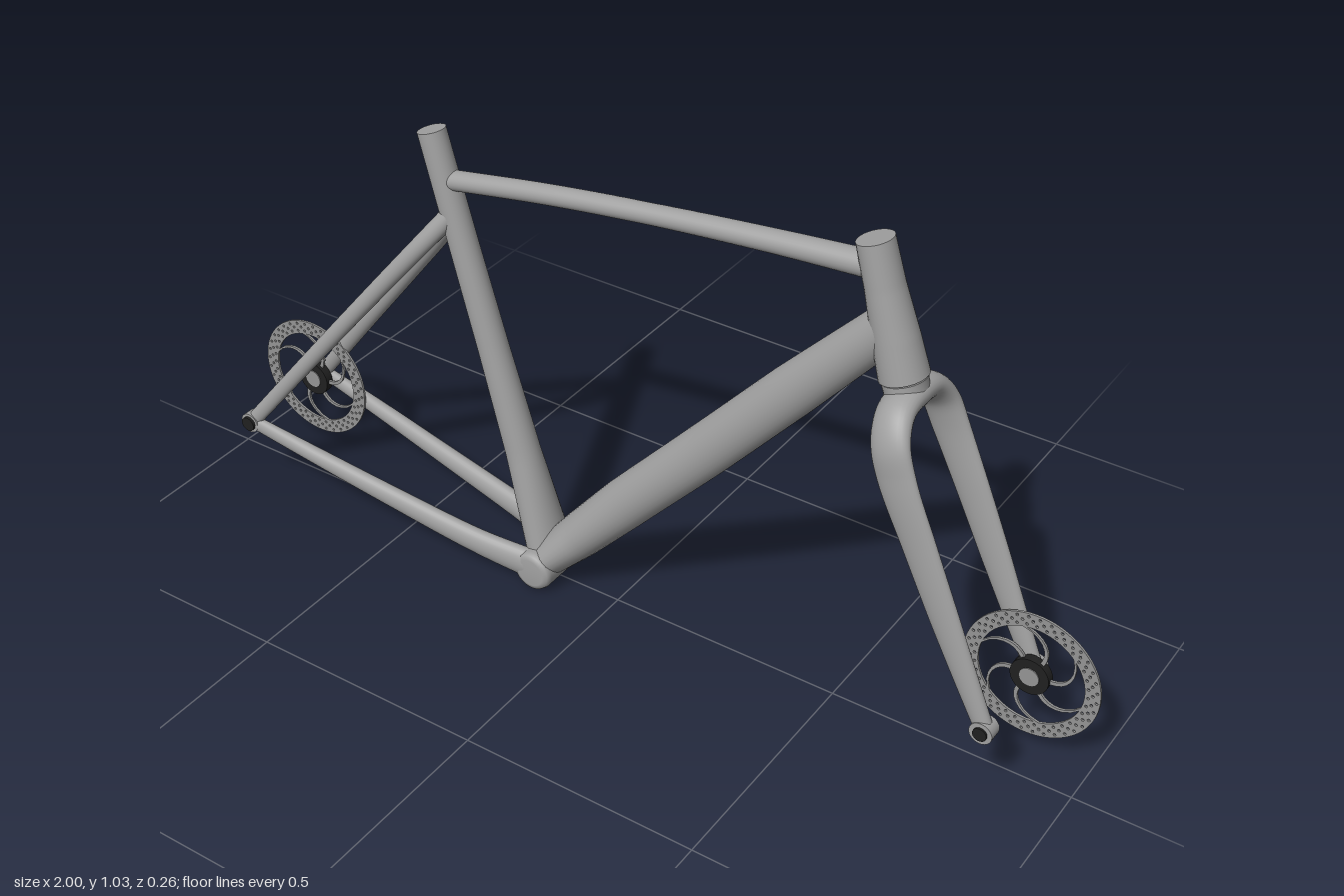
import * as THREE from 'three';

const V = (x, y, z = 0) => new THREE.Vector3(x, y, z);
const frameGrey = new THREE.MeshStandardMaterial({ color: 0xa0a0a0 });
frameGrey.name = 'frame grey';
const rotorGrey = new THREE.MeshStandardMaterial({ color: 0x949494 });
rotorGrey.name = 'rotor grey';
const hubBlack = new THREE.MeshStandardMaterial({ color: 0x202020 });
hubBlack.name = 'hub black';

// Elliptical tube along a smooth path. Each station is [x, y, z, a, b]:
// a = half-width along ref, b = half-width across it.
function sweep(stations, ref, steps = 40, sides = 28) {
  const curve = new THREE.CatmullRomCurve3(stations.map(s => V(s[0], s[1], s[2])));
  const n = stations.length - 1, pos = [], idx = [];
  const ring = t => {
    const c = curve.getPoint(t), d = curve.getTangent(t);
    const A = ref.clone().addScaledVector(d, -ref.dot(d)).normalize();
    const B = d.clone().cross(A);
    const k = Math.min(n - 1, Math.floor(t * n)), f = t * n - k;
    const a = THREE.MathUtils.lerp(stations[k][3], stations[k + 1][3], f);
    const b = THREE.MathUtils.lerp(stations[k][4], stations[k + 1][4], f);
    const start = pos.length / 3;
    for (let j = 0; j < sides; j++) {
      const q = j / sides * Math.PI * 2;
      const p = c.clone().addScaledVector(A, a * Math.cos(q)).addScaledVector(B, b * Math.sin(q));
      pos.push(p.x, p.y, p.z);
    }
    return { start, c };
  };
  for (let i = 0; i <= steps; i++) ring(i / steps);
  for (let i = 0; i < steps; i++) for (let j = 0; j < sides; j++) {
    const p = i * sides + j, q = i * sides + (j + 1) % sides;
    idx.push(p, q, p + sides, q, q + sides, p + sides);
  }
  for (const t of [0, 1]) { // flat end caps with their own vertices
    const { start, c } = ring(t), m = pos.length / 3;
    pos.push(c.x, c.y, c.z);
    for (let j = 0; j < sides; j++) {
      const p = start + j, q = start + (j + 1) % sides;
      t ? idx.push(m, p, q) : idx.push(m, q, p);
    }
  }
  const g = new THREE.BufferGeometry();
  g.setAttribute('position', new THREE.Float32BufferAttribute(pos, 3));
  g.setIndex(idx);
  g.computeVertexNormals();
  return g;
}

function add(parent, name, geometry, material = frameGrey) {
  const m = new THREE.Mesh(geometry, material);
  m.name = name;
  parent.add(m);
  return m;
}

// Cylinder along z between two depths
function pin(parent, name, x, y, z0, z1, r, material, sides = 28) {
  const g = new THREE.CylinderGeometry(r, r, Math.abs(z1 - z0), sides).rotateX(Math.PI / 2);
  add(parent, name, g, material).position.set(x, y, (z0 + z1) / 2);
}

// Drilled braking ring, curved spokes and black carrier
function brakeRotor(name, x, y, z) {
  const group = new THREE.Group();
  group.name = name;
  const depth = 0.005, opts = { depth, bevelEnabled: false, curveSegments: 64 };
  const shape = new THREE.Shape().absarc(0, 0, 0.138, 0, Math.PI * 2);
  shape.holes.push(new THREE.Path().absarc(0, 0, 0.107, 0, Math.PI * 2, true));
  [0.114, 0.1225, 0.131].forEach((r, row) => {
    for (let i = 0; i < 36; i++) {
      const q = (i + row * 0.4) / 36 * Math.PI * 2, pts = [];
      for (let k = 0; k < 6; k++) {
        const w = -k / 6 * Math.PI * 2;
        pts.push(new THREE.Vector2(r * Math.cos(q) + 0.0032 * Math.cos(w), r * Math.sin(q) + 0.0032 * Math.sin(w)));
      }
      shape.holes.push(new THREE.Path(pts));
    }
  });
  add(group, 'brakingRing', new THREE.ExtrudeGeometry(shape, opts).translate(0, 0, -depth / 2), rotorGrey);
  for (let s = 0; s < 6; s++) {
    const right = [], left = [];
    for (let i = 0; i <= 8; i++) {
      const t = i / 8, r = 0.034 + 0.074 * t, q = s * Math.PI / 3 + 0.75 * t * t, w = 0.0042 / r;
      right.push(new THREE.Vector2(r * Math.cos(q - w), r * Math.sin(q - w)));
      left.unshift(new THREE.Vector2(r * Math.cos(q + w), r * Math.sin(q + w)));
    }
    const g = new THREE.ExtrudeGeometry(new THREE.Shape([...right, ...left]), { depth, bevelEnabled: false });
    add(group, 'rotorSpoke', g.translate(0, 0, -depth / 2), rotorGrey);
  }
  pin(group, 'rotorCarrier', 0, 0, -0.009, 0.009, 0.039, hubBlack);
  pin(group, 'carrierCap', 0, 0, -0.011, 0.011, 0.02, rotorGrey);
  group.position.set(x, y, z);
  return group;
}

export function createModel() {
  const model = new THREE.Group();
  model.name = 'bicycleFrame';
  const Z = V(0, 0, 1);

  // Main triangle
  add(model, 'headTube', sweep([
    [0.52, 1.02, 0, 0.036, 0.034], [0.545, 0.935, 0, 0.038, 0.036],
    [0.572, 0.845, 0, 0.043, 0.043], [0.594, 0.772, 0, 0.047, 0.046]], Z));
  add(model, 'topTube', sweep([
    [-0.39, 0.848, 0, 0.021, 0.02], [-0.15, 0.89, 0, 0.021, 0.02], [0.08, 0.922, 0, 0.021, 0.02],
    [0.32, 0.949, 0, 0.023, 0.022], [0.53, 0.968, 0, 0.026, 0.025]], Z));
  add(model, 'downTube', sweep([
    [0.56, 0.862, 0, 0.038, 0.042], [0.38, 0.66, 0, 0.04, 0.05], [0.2, 0.455, 0, 0.042, 0.052],
    [0.02, 0.255, 0, 0.048, 0.052], [-0.08, 0.14, 0, 0.056, 0.048], [-0.15, 0.062, 0, 0.07, 0.042]], Z));
  add(model, 'seatTube', sweep([
    [-0.425, 0.945, 0, 0.028, 0.029], [-0.36, 0.72, 0, 0.029, 0.03], [-0.295, 0.5, 0, 0.031, 0.032],
    [-0.23, 0.28, 0, 0.036, 0.036], [-0.167, 0.06, 0, 0.055, 0.04]], Z));

  // Bottom bracket shell with rounded rims
  const profile = [[0, -0.075], [0.03, -0.075], [0.04, -0.071], [0.044, -0.06], [0.044, 0.06], [0.04, 0.071],
    [0.03, 0.075], [0, 0.075]].map(p => new THREE.Vector2(...p));
  add(model, 'bottomBracket', new THREE.LatheGeometry(profile, 36).rotateX(Math.PI / 2)).position.set(-0.165, 0.044, 0);

  // Rear stays and dropouts, mirrored
  for (const s of [1, -1]) {
    const side = s > 0 ? 'left' : 'right';
    add(model, side + 'ChainStay', sweep([
      [-0.16, 0.046, s * 0.05, 0.022, 0.036], [-0.3, 0.066, s * 0.071, 0.02, 0.029],
      [-0.5, 0.102, s * 0.089, 0.018, 0.024], [-0.7, 0.14, s * 0.105, 0.016, 0.019],
      [-0.862, 0.17, s * 0.116, 0.011, 0.017]], Z));
    add(model, side + 'SeatStay', sweep([
      [-0.375, 0.785, s * 0.008, 0.018, 0.02], [-0.44, 0.7, s * 0.042, 0.017, 0.019],
      [-0.54, 0.575, s * 0.065, 0.016, 0.018], [-0.7, 0.375, s * 0.09, 0.014, 0.017],
      [-0.862, 0.17, s * 0.115, 0.011, 0.016]], Z));
    pin(model, side + 'RearDropout', -0.862, 0.17, s * 0.102, s * 0.126, 0.022, frameGrey);
    pin(model, side + 'RearAxleBolt', -0.862, 0.17, s * 0.098, s * 0.132, 0.016, hubBlack);
    pin(model, side + 'ForkDropout', 0.857, 0.17, s * 0.085, s * 0.116, 0.023, frameGrey);
    pin(model, side + 'FrontAxleBolt', 0.857, 0.17, s * 0.082, s * 0.12, 0.014, hubBlack);
  }

  // One-piece fork: up one leg, across the crown, down the other
  const leg = [
    [0.857, 0.17, 0.1, 0.019, 0.014], [0.81, 0.27, 0.101, 0.025, 0.014], [0.757, 0.385, 0.102, 0.031, 0.014],
    [0.7, 0.51, 0.102, 0.035, 0.014], [0.645, 0.63, 0.1, 0.039, 0.015], [0.623, 0.69, 0.09, 0.039, 0.02],
    [0.61, 0.728, 0.056, 0.039, 0.026]];
  const fork = [...leg, [0.606, 0.737, 0, 0.041, 0.029], ...leg.slice().reverse().map(([x, y, z, a, b]) => [x, y, -z, a, b])];
  add(model, 'fork', sweep(fork, V(0.91, 0.41, 0).normalize(), 90));
  add(model, 'crownRace', sweep([[0.595, 0.769, 0, 0.044, 0.043], [0.606, 0.73, 0, 0.044, 0.038]], Z, 4));

  // Disc brakes
  model.add(brakeRotor('rearBrakeRotor', -0.862, 0.17, -0.09));
  model.add(brakeRotor('frontBrakeRotor', 0.862, 0.17, -0.08));
  return model;
}
